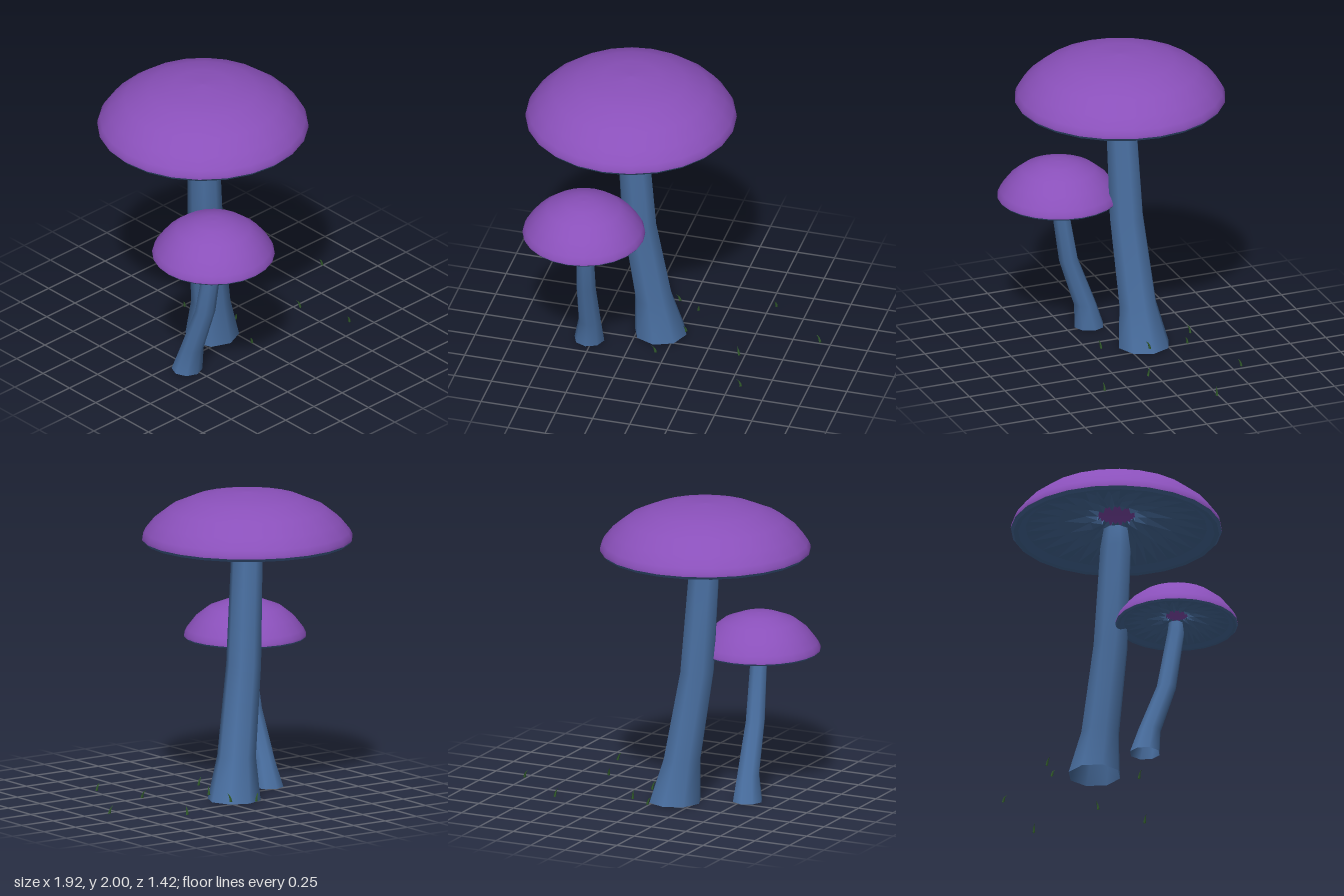
import * as THREE from 'three';

const purple = new THREE.MeshStandardMaterial({ color: 0x8a50ba, side: THREE.DoubleSide });
purple.name = 'capPurple';
const blue = new THREE.MeshStandardMaterial({ color: 0x4a70a2, side: THREE.DoubleSide });
blue.name = 'stemBlue';
const green = new THREE.MeshStandardMaterial({ color: 0x35602f, side: THREE.DoubleSide });
green.name = 'grassGreen';

// Skin of closed rings: point(row, column) gives [x, y, z]
function loft(rows, cols, point) {
  const pos = [], index = [];
  for (let i = 0; i < rows; i++) {
    for (let j = 0; j < cols; j++) {
      pos.push(...point(i, j));
      if (i === rows - 1) continue;
      const a = i * cols + j, b = i * cols + (j + 1) % cols;
      index.push(a, a + cols, b, b, a + cols, b + cols);
    }
  }
  const g = new THREE.BufferGeometry();
  g.setAttribute('position', new THREE.Float32BufferAttribute(pos, 3));
  g.setIndex(index);
  g.computeVertexNormals();
  return g;
}

// Open bent tube through rings of [x, y, z, radius]
function bentTube(rings, sides) {
  return loft(rings.length, sides, (i, j) => {
    const [x, y, z, r] = rings[i], a = j / sides * Math.PI * 2;
    return [x + r * Math.cos(a), y, z + r * Math.sin(a)];
  });
}

// Folded underside, from the hole round the stem out to the rim
function gillGeometry(radius) {
  const rows = [[0.18, 0.09], [0.3, 0.08], [0.55, 0.055], [0.86, 0.012], [0.93, -0.018], [0.975, -0.02], [1, 0]];
  const cols = 48, s = radius / 0.685;
  const g = loft(rows.length, cols, (i, j) => {
    const a = j / cols * Math.PI * 2;
    let [r, y] = rows[i];
    if (i < 3) y += j % 2 ? 0.025 : (j % 4 === 2 && i < 2 ? 0.01 : -0.012);
    if (j % 2) r *= Math.cos(Math.PI / 24);
    return [radius * r * Math.cos(a), y * s, radius * r * Math.sin(a)];
  }).toNonIndexed();
  g.computeVertexNormals();
  return g;
}

function add(parent, name, geometry, material) {
  const m = new THREE.Mesh(geometry, material);
  m.name = name;
  parent.add(m);
  return m;
}

function mushroom(name, stem, [x, y, z], profile) {
  const g = new THREE.Group();
  g.name = name;
  add(g, 'stem', bentTube(stem, 8), blue);
  const pts = profile.map(([r, h]) => new THREE.Vector2(r, h));
  add(g, 'cap', new THREE.LatheGeometry(pts, 24), purple).position.set(x, y, z);
  add(g, 'gills', gillGeometry(profile[0][0]), blue).position.set(x, y, z);
  return g;
}

export function createModel() {
  const model = new THREE.Group();
  model.name = 'mushrooms';

  model.add(mushroom('largeMushroom', [
    [-0.105, 0, -0.12, 0.174], [-0.143, 0.28, -0.093, 0.127], [-0.23, 0.87, -0.05, 0.115],
    [-0.27, 1.55, -0.028, 0.104], [-0.272, 1.69, -0.026, 0.083],
  ], [-0.277, 1.69, -0.025], [
    [0.685, 0], [0.683, 0.02], [0.667, 0.052], [0.61, 0.122], [0.51, 0.2],
    [0.355, 0.267], [0.19, 0.3], [0, 0.31],
  ]));

  model.add(mushroom('smallMushroom', [
    [-0.525, 0, 0.09, 0.1], [-0.513, 0.17, 0.125, 0.075], [-0.505, 0.5, 0.243, 0.065],
    [-0.497, 0.9, 0.31, 0.057], [-0.496, 0.97, 0.31, 0.048],
  ], [-0.5, 0.965, 0.314], [
    [0.398, 0], [0.396, 0.015], [0.38, 0.048], [0.32, 0.125], [0.24, 0.188],
    [0.127, 0.232], [0.06, 0.242], [0, 0.245],
  ]));

  // Tiny curved grass blades: x, z, lean angle
  const grass = new THREE.Group();
  grass.name = 'grass';
  const spots = [
    [0.59, 0.44, 3], [0.48, 0.09, 4], [0.945, -0.2, 3.3], [0.56, -0.53, 1.9],
    [-0.05, 0.2, 2.8], [0.085, -0.35, 1.2], [-0.06, -0.43, 2.6], [0.075, -0.09, 2],
  ];
  for (const [x, z, a] of spots) {
    const c = Math.cos(a), s = Math.sin(a);
    const rings = [[0, 0.045, 0.01], [0.004, 0.065, 0.008], [0.012, 0.083, 0.005], [0.027, 0.097, 0.0005]]
      .map(([d, y, r]) => [x + d * c, y, z + d * s, r]);
    add(grass, 'grassBlade', bentTube(rings, 3), green);
  }
  model.add(grass);
  return model;
}
